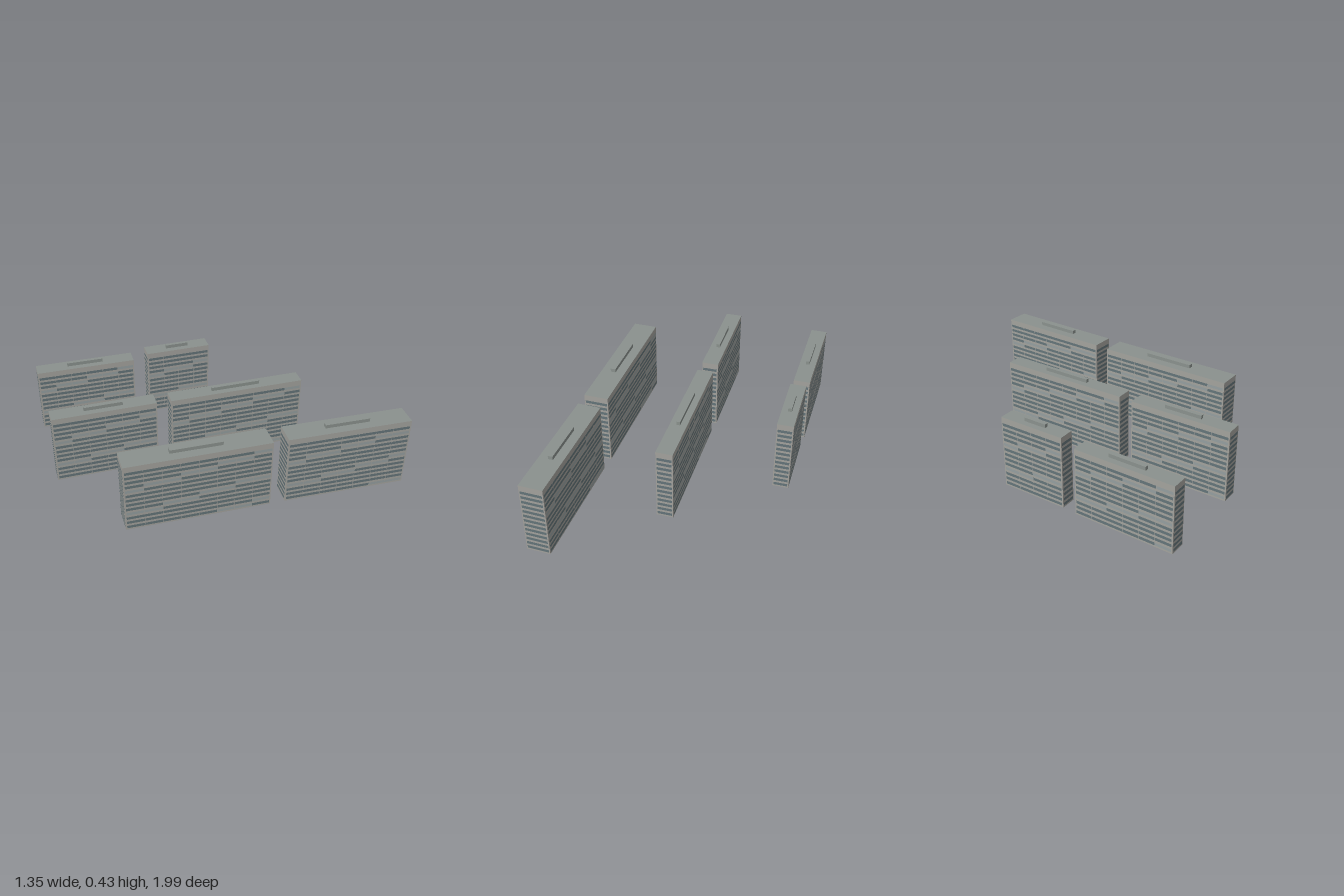
import * as THREE from 'three';
import { mergeGeometries } from 'three/addons/utils/BufferGeometryUtils.js';

const mat = (color) => new THREE.MeshStandardMaterial({ color });
const FLOOR = 0.0292, STRIP = 0.016, BAY = 0.0985, PROUD = 0.0008;

// name, centre x, centre z, length, width, floors, angle in degrees, roof house length and width
const BLOCKS = [
  ['backLeftBlock', -0.07, -0.8, 0.571, 0.09, 12, 34.5, 0.21, 0.02],
  ['backRightBlock', 0.39, -0.48, 0.381, 0.087, 13, 33.7, 0.132, 0.02],
  ['middleLeftBlock', -0.358, -0.36, 0.581, 0.091, 13, 33.8, 0.215, 0.02],
  ['middleRightBlock', 0.264, 0.066, 0.765, 0.089, 13, 34, 0.28, 0.02],
  ['frontLeftBlock', -0.315, 0.262, 0.793, 0.133, 13, 34.9, 0.285, 0.028],
  ['frontRightBlock', 0.357, 0.741, 0.69, 0.126, 13, 35.7, 0.25, 0.025],
];

function createBlock([name, x, z, length, width, floors, angle, houseLength, houseWidth], mats) {
  const block = new THREE.Group();
  block.name = name;
  const height = floors * FLOOR + 0.03;
  const add = (part, geometry, material, y = 0) => {
    const mesh = new THREE.Mesh(geometry, material);
    mesh.name = part;
    mesh.position.y = y;
    block.add(mesh);
  };

  // Slab with a darker roof face
  const { wall, roof, glass, panel } = mats;
  add('slab', new THREE.BoxGeometry(length, height, width), [wall, wall, roof, wall, wall, wall], height / 2);
  add('roofHouse', new THREE.BoxGeometry(houseLength, 0.02, houseWidth), roof, height + 0.01);

  // Window bands: split into bays on the long sides, some bays closed by pale panels
  const windows = [], panels = [];
  const bays = Math.round(length / BAY);
  const bay = (length - 0.012) / bays;
  for (let r = 0; r < floors; r++) {
    const y = 0.018 + r * FLOOR;
    for (const side of [0, Math.PI]) {
      for (let c = 0; c < bays; c++) {
        const key = (c * 3 + r * 5) % 11;
        const strip = new THREE.PlaneGeometry(bay - 0.002, STRIP)
          .translate((c + 0.5 - bays / 2) * bay, y, width / 2 + PROUD)
          .rotateY(side);
        (key === 4 || key === 7 ? panels : windows).push(strip);
      }
      windows.push(new THREE.PlaneGeometry(width - 0.012, STRIP)
        .translate(0, y, length / 2 + PROUD)
        .rotateY(side + Math.PI / 2));
    }
  }
  add('windowBands', mergeGeometries(windows), glass);
  add('closedPanels', mergeGeometries(panels), panel);

  block.position.set(x, 0, z);
  block.rotation.y = -THREE.MathUtils.degToRad(angle);
  return block;
}

export function createModel() {
  const model = new THREE.Group();
  model.name = 'slabBlockEstate';
  const mats = {
    wall: mat(0xa3a29d),
    roof: mat(0x8a918d),
    glass: mat(0x647479),
    panel: mat(0x949e9f),
  };
  for (const data of BLOCKS) model.add(createBlock(data, mats));
  return model;
}
